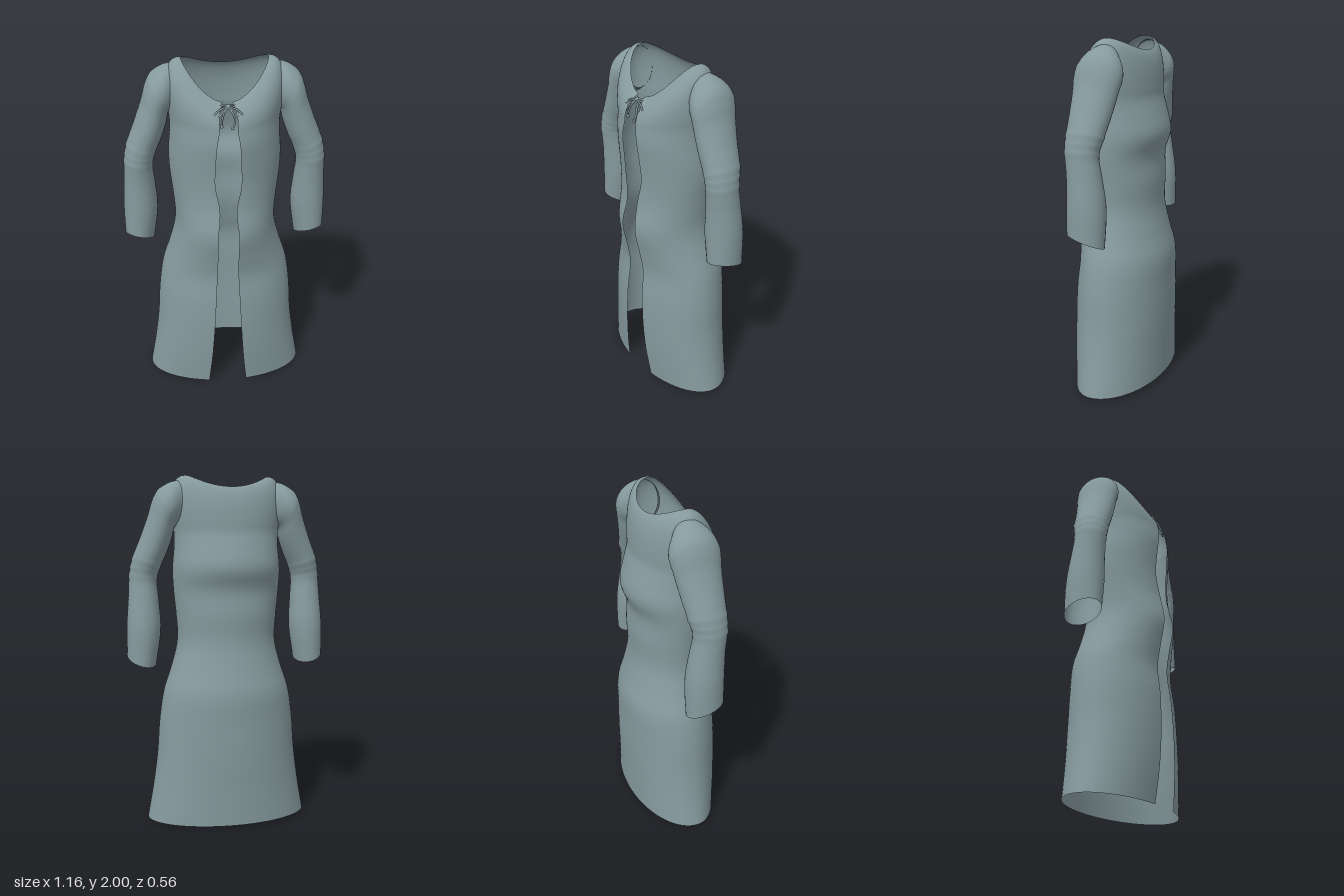
import * as THREE from 'three';

const cloth = new THREE.MeshStandardMaterial({ color: 0x869a9e, side: THREE.DoubleSide });
cloth.name = 'greyTealCloth';

// Smooth interpolation of a table whose first column is the parameter
function smoothTable(rows) {
  const size = rows[0].length - 1;
  const curve = new THREE.CubicInterpolant(rows.map(r => r[0]), rows.flatMap(r => r.slice(1)), size, new Float32Array(size));
  return t => Array.from(curve.evaluate(t));
}

// Grid surface from fn(row, column), optionally closed around its columns
function loft(rows, cols, closed, fn) {
  const pos = [], index = [];
  for (let i = 0; i <= rows; i++)
    for (let j = 0; j < (closed ? cols : cols + 1); j++) pos.push(...fn(i / rows, j / cols));
  const n = closed ? cols : cols + 1;
  for (let i = 0; i < rows; i++)
    for (let j = 0; j < cols; j++) {
      const a = i * n + j, b = i * n + (j + 1) % n;
      index.push(a, b, b + n, a, b + n, a + n);
    }
  const geo = new THREE.BufferGeometry();
  geo.setAttribute('position', new THREE.Float32BufferAttribute(pos, 3));
  geo.setIndex(index);
  geo.computeVertexNormals();
  return geo;
}

// Height, half width, front z, back z, half gap of the front opening
const torso = smoothTable([
  [0.00, 0.476, 0.235, -0.268, 0.115],
  [0.20, 0.440, 0.255, -0.272, 0.095],
  [0.40, 0.413, 0.262, -0.278, 0.081],
  [0.60, 0.397, 0.255, -0.278, 0.070],
  [0.78, 0.368, 0.238, -0.276, 0.061],
  [0.90, 0.328, 0.258, -0.245, 0.058],
  [1.06, 0.288, 0.287, -0.212, 0.058],
  [1.22, 0.294, 0.255, -0.213, 0.046],
  [1.36, 0.308, 0.246, -0.206, 0.070],
  [1.48, 0.312, 0.254, -0.243, 0.068],
  [1.60, 0.302, 0.264, -0.215, 0.060],
  [1.68, 0.300, 0.255, -0.188, 0.046],
]);
const CHEST = 1.68;

function around(u, halfWidth, front, back, gap) {
  const start = Math.asin(gap / halfWidth);
  const a = start + u * (2 * Math.PI - 2 * start), c = Math.cos(a);
  return { x: halfWidth * Math.sin(a), z: c > 0 ? front * c : -back * c, c };
}

// Coat body: skirt and chest rings, then a curved yoke up to the neckline
function bodyPoint(v, u) {
  const split = 0.72;
  const y = CHEST * Math.min(v / split, 1);
  const p = around(u, ...torso(y));
  if (v <= split) return [p.x, y + 0.01 * (1 - p.c) * (1 - y / CHEST), p.z];
  const t = (v - split) / (1 - split), s = 1 - t;
  const n = around(u, 0.23, 0.175, -0.132, 0.025);
  const neckY = 2 - (n.c > 0 ? 0.19 : 0.067) * n.c * n.c;
  const mix = (a, b, c) => s * s * a + 2 * s * t * b + t * t * c;
  return [
    mix(p.x, p.x * 1.18, n.x),
    mix(CHEST, neckY + 0.01 - 0.06 * n.c * n.c, neckY),
    mix(p.z, p.z * 0.97, n.z),
  ];
}

// Position along sleeve, outer x, outer y, inner x, inner y, centre z, half depth
const sleeve = smoothTable([
  [0.00, 0.270, 1.975, 0.260, 1.740, -0.010, 0.085],
  [0.08, 0.335, 1.957, 0.288, 1.725, -0.010, 0.122],
  [0.16, 0.395, 1.915, 0.302, 1.710, -0.008, 0.133],
  [0.24, 0.426, 1.855, 0.308, 1.690, -0.004, 0.130],
  [0.32, 0.448, 1.780, 0.318, 1.645, 0.000, 0.123],
  [0.44, 0.492, 1.660, 0.347, 1.565, 0.008, 0.113],
  [0.55, 0.537, 1.545, 0.380, 1.490, 0.015, 0.103],
  [0.65, 0.558, 1.440, 0.400, 1.415, 0.024, 0.092],
  [0.75, 0.566, 1.320, 0.392, 1.300, 0.012, 0.096],
  [0.87, 0.578, 1.160, 0.385, 1.140, 0.000, 0.107],
  [1.00, 0.580, 0.985, 0.413, 0.943, 0.000, 0.105],
]);

function sleeveGeometry(side) {
  return loft(66, 32, true, (v, u) => {
    const a = u * 2 * Math.PI * side, c = Math.cos(a), s = Math.sin(a);
    const [ox, oy, ix, iy, cz, depth] = sleeve(v);
    // Gathered folds at the elbow
    let fold = 1;
    for (const f of [0.555, 0.60, 0.645]) fold += 0.055 * Math.exp(-(((v - f) / 0.012) ** 2)) * (0.65 + 0.35 * c);
    const slant = 0.03 * s * THREE.MathUtils.smoothstep(v, 0.8, 1);
    return [
      side * ((ox + ix) / 2 + (ox - ix) / 2 * c * fold),
      (oy + iy) / 2 + (oy - iy) / 2 * c + slant,
      cz + depth * s * fold,
    ];
  });
}

export function createModel() {
  const model = new THREE.Group();
  model.name = 'coat';
  const add = (parent, name, geo) => {
    const mesh = new THREE.Mesh(geo, cloth);
    mesh.name = name;
    parent.add(mesh);
    return mesh;
  };

  add(model, 'coatBody', loft(76, 80, false, bodyPoint));
  add(model, 'leftSleeve', sleeveGeometry(1));
  add(model, 'rightSleeve', sleeveGeometry(-1));

  // Tied lace at the collar
  const lace = new THREE.Group();
  lace.name = 'collarLace';
  model.add(lace);
  const cord = (name, pts) => add(lace, name, new THREE.TubeGeometry(
    new THREE.CatmullRomCurve3(pts.map(p => new THREE.Vector3(...p))), 28, 0.0055, 6));
  cord('laceStrap', [[-0.04, 1.80, 0.183], [0, 1.803, 0.198], [0.04, 1.80, 0.183]]);
  cord('laceStrapLower', [[-0.035, 1.785, 0.19], [0, 1.795, 0.202], [0.035, 1.785, 0.19]]);
  const knot = add(lace, 'laceKnot', new THREE.SphereGeometry(0.013, 12, 8));
  knot.position.set(0, 1.797, 0.202);
  for (const s of [1, -1]) {
    const side = s > 0 ? 'left' : 'right';
    cord(side + 'Loop', [[0, 1.797, 0.204], [s * 0.045, 1.785, 0.216], [s * 0.083, 1.745, 0.222],
      [s * 0.09, 1.718, 0.222], [s * 0.07, 1.722, 0.228], [s * 0.045, 1.757, 0.226], [0, 1.797, 0.208]]);
    cord(side + 'Tail', [[0, 1.797, 0.204], [s * 0.022, 1.77, 0.222], [s * 0.034, 1.73, 0.236],
      [s * (s > 0 ? 0.02 : 0.036), s > 0 ? 1.69 : 1.70, 0.24]]);
    const bead = add(lace, side + 'TailKnot', new THREE.SphereGeometry(0.009, 10, 8));
    bead.position.set(s > 0 ? 0.02 : -0.036, s > 0 ? 1.695 : 1.705, 0.24);
  }
  return model;
}
